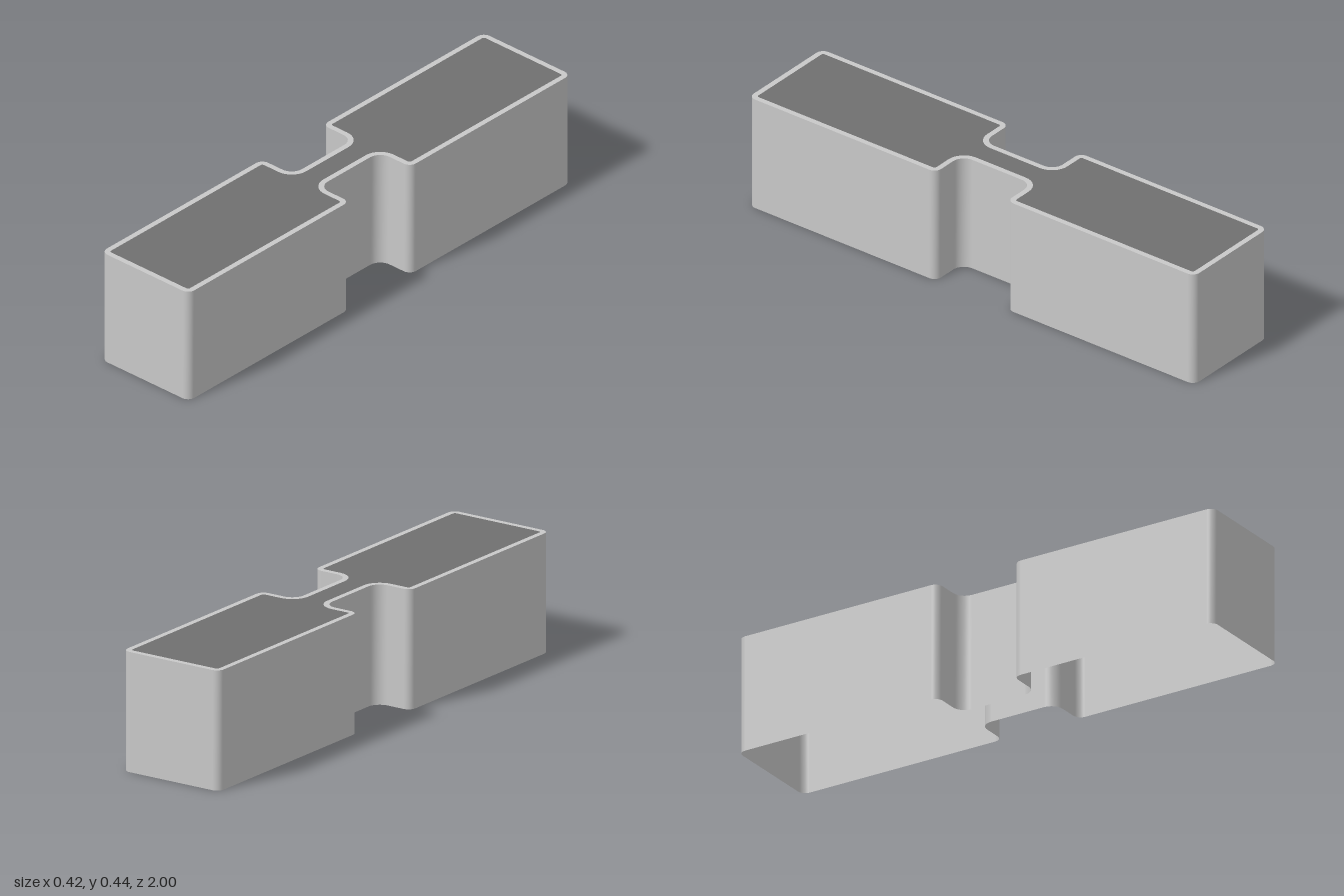
import * as THREE from 'three';

const HEIGHT = 0.445, RIM = 0.021, STEPS = 8;

// Rounded H-shaped outline, counter-clockwise, shrunk evenly by an inset
function outline(inset) {
  const w = 0.209 - inset, l = 1 - inset;       // half width and half length
  const k = 0.062 - inset, n = 0.159 + inset;   // half neck width and notch half length
  const r = 0.03 - inset, f = 0.048 + inset;    // outer corner and inner fillet radii
  const q = Math.PI / 2;
  const arcs = [
    [k + f, n - f, f, 2 * q, q],
    [w - r, n + r, r, -q, 0],
    [w - r, l - r, r, 0, q],
    [r - w, l - r, r, q, 2 * q],
    [r - w, n + r, r, 2 * q, 3 * q],
    [-k - f, n - f, f, q, 0],
  ];
  const half = [];
  for (const [cx, cy, rad, a0, a1] of arcs) {
    for (let i = 0; i <= STEPS; i++) {
      const a = a0 + (a1 - a0) * i / STEPS;
      half.push(new THREE.Vector2(cx + rad * Math.cos(a), cy + rad * Math.sin(a)));
    }
  }
  return [...half, ...half.map(p => p.clone().negate())];
}

// Open, smooth upright wall following the outline
function wallGeometry(points) {
  const positions = [], index = [], count = points.length;
  points.forEach((p, i) => {
    positions.push(p.x, 0, -p.y, p.x, HEIGHT, -p.y);
    const a = 2 * i, b = 2 * ((i + 1) % count);
    index.push(a, b, b + 1, a, b + 1, a + 1);
  });
  const geometry = new THREE.BufferGeometry();
  geometry.setAttribute('position', new THREE.Float32BufferAttribute(positions, 3));
  geometry.setIndex(index);
  geometry.computeVertexNormals();
  return geometry;
}

// Flat horizontal face at the top of the wall
function topGeometry(shape) {
  return new THREE.ShapeGeometry(shape).rotateX(-Math.PI / 2).translate(0, HEIGHT, 0);
}

export function createModel() {
  const lightGrey = new THREE.MeshStandardMaterial({ color: 0xc8c8c8, side: THREE.DoubleSide });
  lightGrey.name = 'light grey';
  const darkGrey = new THREE.MeshStandardMaterial({ color: 0x707070, side: THREE.DoubleSide });
  darkGrey.name = 'dark grey';

  const outer = outline(0), inner = outline(RIM);
  const rimShape = new THREE.Shape(outer);
  rimShape.holes.push(new THREE.Path(inner));

  const group = new THREE.Group();
  group.name = 'notchedBlock';
  const add = (name, geometry, material) => {
    const mesh = new THREE.Mesh(geometry, material);
    mesh.name = name;
    group.add(mesh);
  };

  // Thin shell, open underneath
  add('wall', wallGeometry(outer), lightGrey);
  // Pale border and dark panel on top
  add('topRim', topGeometry(rimShape), lightGrey);
  add('topPanel', topGeometry(new THREE.Shape(inner)), darkGrey);
  return group;
}
